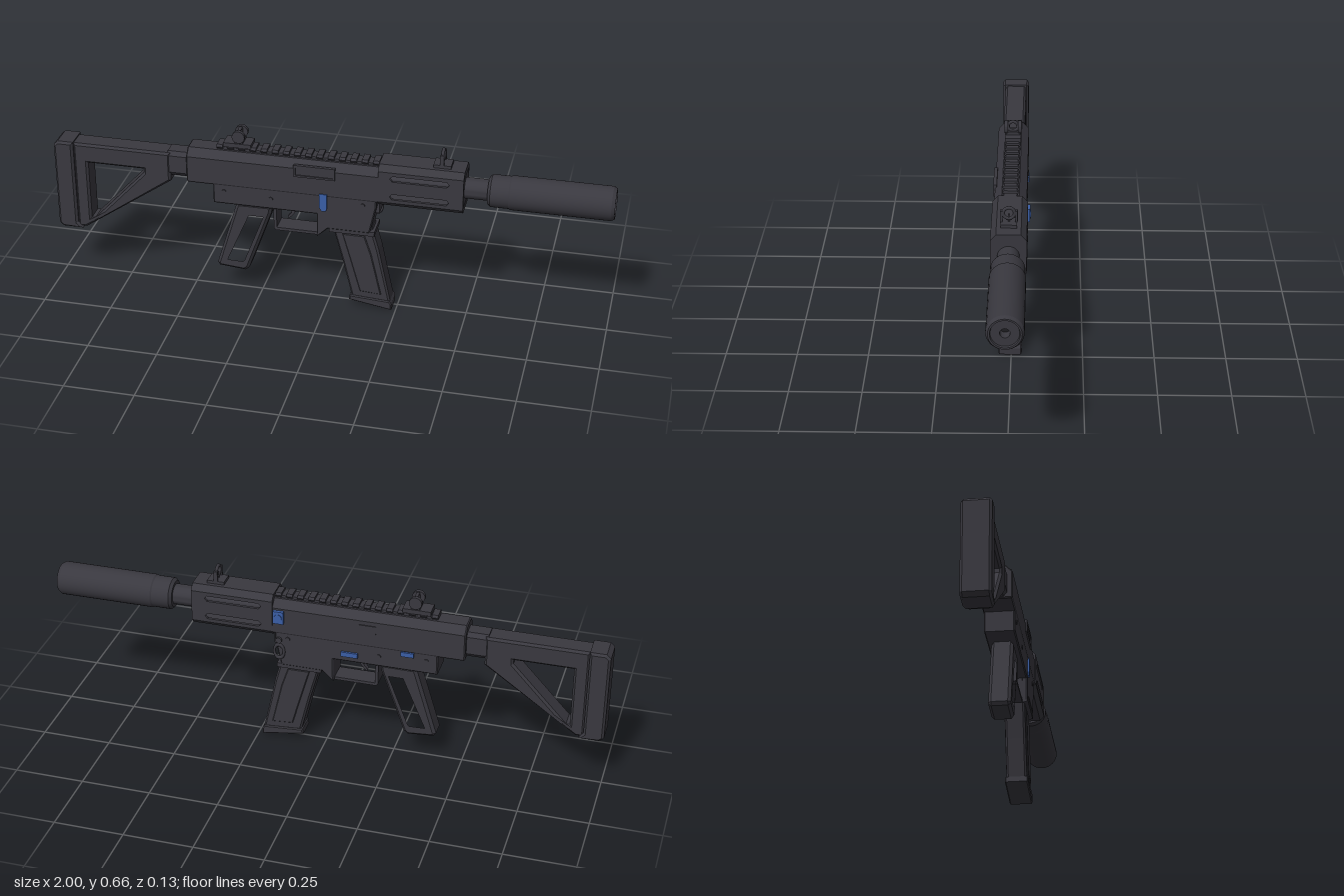
import * as THREE from 'three';
import { toCreasedNormals } from 'three/addons/utils/BufferGeometryUtils.js';

const dark = new THREE.MeshStandardMaterial({ color: 0x39383f });
dark.name = 'charcoal';
const blue = new THREE.MeshStandardMaterial({ color: 0x3a5ea6 });
blue.name = 'blue';
const black = new THREE.MeshStandardMaterial({ color: 0x1e1e22 });
black.name = 'bore black';

const AXIS_Y = 0.512; // height of the barrel axis

export function createModel() {
  const model = new THREE.Group();
  model.name = 'compactCarbine';
  const body = new THREE.Group();
  body.name = 'body';
  body.position.z = 0.004;
  model.add(body);

  const add = (name, geo, mat = dark, x = 0, y = 0, z = 0) => {
    const mesh = new THREE.Mesh(geo, mat);
    mesh.name = name;
    mesh.position.set(x, y, z);
    body.add(mesh);
    return mesh;
  };
  const box = (name, x0, x1, y0, y1, z0, z1, mat = dark) =>
    add(name, new THREE.BoxGeometry(x1 - x0, y1 - y0, z1 - z0), mat, (x0 + x1) / 2, (y0 + y1) / 2, (z0 + z1) / 2);
  const vecs = (pts) => pts.map(([x, y]) => new THREE.Vector2(x, y));
  const extrude = (pts, holes, depth, bevel) => {
    const shape = new THREE.Shape(vecs(pts));
    holes.forEach((h) => shape.holes.push(new THREE.Path(vecs(h))));
    const geo = new THREE.ExtrudeGeometry(shape, {
      depth: depth - 2 * bevel, bevelEnabled: bevel > 0, bevelSize: bevel,
      bevelThickness: bevel, bevelOffset: -bevel, bevelSegments: 1,
    });
    return geo.translate(0, 0, bevel - depth / 2);
  };
  // Side profile in x/y with a thickness across z
  const slab = (name, pts, holes, depth, bevel = 0, z = 0, mat = dark) =>
    add(name, extrude(pts, holes, depth, bevel), mat, 0, 0, z);
  // Cross-section in z/y drawn out along x
  const beam = (name, x0, x1, pts, holes = [], bevel = 0) =>
    add(name, extrude(pts, holes, x1 - x0, bevel).rotateY(Math.PI / 2), dark, (x0 + x1) / 2);
  // Turned part along the barrel axis, profile as [radius, x]
  const turned = (name, profile, mat = dark, sides = 32) => {
    const geo = new THREE.LatheGeometry(vecs(profile), sides).rotateZ(-Math.PI / 2);
    return add(name, toCreasedNormals(geo, 0.5), mat, 0, AXIS_Y, 0);
  };
  // Short disc facing sideways
  const pin = (name, x, y, z, r, len, mat = dark) =>
    add(name, toCreasedNormals(new THREE.CylinderGeometry(r, r, len, 16).rotateX(Math.PI / 2), 0.6), mat, x, y, z);
  const rect = (x0, x1, y0, y1) => [[x0, y0], [x1, y0], [x1, y1], [x0, y1]];

  // Stock: butt pad, triangular frame and connecting tube
  slab('buttPad', [[-1, 0.21], [-0.985, 0.197], [-0.91, 0.197], [-0.928, 0.22], [-0.928, 0.545], [-0.985, 0.545], [-1, 0.53]], [], 0.1, 0.008);
  slab('stockFrame',
    [[-0.93, 0.2], [-0.9, 0.2], [-0.57, 0.43], [-0.57, 0.54], [-0.93, 0.54]],
    [[[-0.878, 0.465], [-0.878, 0.24], [-0.865, 0.24], [-0.67, 0.45], [-0.67, 0.465]]], 0.08, 0.008);
  beam('stockTube', -0.58, -0.48, [[-0.025, 0.45], [0.025, 0.45], [0.037, 0.465], [0.037, 0.53], [0.025, 0.545], [-0.025, 0.545], [-0.037, 0.53], [-0.037, 0.465]]);

  // Receivers
  beam('upperReceiver', -0.505, 0.188,
    [[-0.052, 0.444], [0.052, 0.444], [0.056, 0.45], [0.056, 0.545], [0.03, 0.572], [-0.03, 0.572], [-0.056, 0.545], [-0.056, 0.45]], [], 0.004);
  slab('lowerReceiver',
    [[-0.41, 0.46], [-0.41, 0.37], [-0.035, 0.37], [-0.035, 0.278], [0.005, 0.315], [0.155, 0.315], [0.178, 0.42], [0.178, 0.46]], [], 0.105, 0.004);
  slab('triggerGuard',
    [[-0.195, 0.38], [-0.195, 0.285], [-0.187, 0.277], [-0.03, 0.277], [-0.03, 0.38]],
    [[[-0.184, 0.375], [-0.184, 0.288], [-0.036, 0.288], [-0.036, 0.375]]], 0.07);
  slab('trigger', [[-0.155, 0.375], [-0.135, 0.34], [-0.15, 0.322], [-0.146, 0.314], [-0.124, 0.34], [-0.125, 0.375]], [], 0.018);
  box('wellLip', 0.01, 0.172, 0.303, 0.32, -0.05, 0.05);
  box('frontLug', 0.165, 0.186, 0.39, 0.45, -0.03, 0.03);

  // Skeleton grip
  slab('grip',
    [[-0.33, 0.37], [-0.2, 0.37], [-0.205, 0.34], [-0.29, 0.105], [-0.305, 0.092], [-0.4, 0.1], [-0.408, 0.112]],
    [[[-0.292, 0.335], [-0.225, 0.335], [-0.222, 0.325], [-0.298, 0.128], [-0.31, 0.12], [-0.375, 0.122], [-0.38, 0.13]]], 0.076, 0.01);

  // Magazine with raised side panels and a foot
  slab('magazine', [[0.015, 0.33], [0.16, 0.33], [0.185, 0.24], [0.23, 0.03], [0.09, 0.035], [0.055, 0.18]], [], 0.072, 0.007);
  for (const s of [-1, 1]) {
    slab('magazinePanel', [[0.055, 0.295], [0.135, 0.295], [0.16, 0.22], [0.197, 0.06], [0.12, 0.065], [0.085, 0.19]], [], 0.008, 0.003, s * 0.036);
  }
  slab('magazineFoot', [[0.083, 0.045], [0.08, 0.025], [0.235, 0], [0.235, 0.024], [0.228, 0.036]], [], 0.082, 0.004);

  // Handguard: slotted sides, chamfered top and bottom, end plates
  const X0 = 0.184, X1 = 0.482;
  const slot = (y0, y1) => [[0.225, (y0 + y1) / 2], [0.234, y0], [0.424, y0], [0.433, (y0 + y1) / 2], [0.424, y1], [0.234, y1]];
  for (const s of [-1, 1]) {
    slab('handguardSide', rect(X0, X1, 0.452, 0.57), [slot(0.465, 0.486), slot(0.535, 0.556)], 0.01, 0, s * 0.055);
  }
  beam('handguardTop', X0, X1, [[-0.06, 0.565], [0.06, 0.565], [0.06, 0.57], [0.041, 0.591], [-0.041, 0.591], [-0.06, 0.57]]);
  beam('handguardBottom', X0, X1, [[-0.045, 0.435], [0.045, 0.435], [0.06, 0.452], [0.06, 0.457], [-0.06, 0.457], [-0.06, 0.452]]);
  for (const x of [X0, X1 - 0.012]) box('handguardEnd', x + 0.001, x + 0.011, 0.455, 0.567, -0.052, 0.052);

  // Barrel and suppressor
  turned('barrel', [[0, 0.18], [0.02, 0.18], [0.02, 0.475], [0.037, 0.475], [0.037, 0.57], [0, 0.57]]);
  turned('suppressor', [[0, 0.562], [0.048, 0.562], [0.057, 0.572], [0.057, 0.635], [0.06, 0.64], [0.06, 0.985], [0.053, 0.997],
    [0.047, 0.997], [0.045, 0.99], [0.016, 0.99], [0.016, 0.95]]);
  turned('bore', [[0.016, 0.955], [0, 0.955]], black, 20);

  // Top rail with cross teeth
  box('railBase', -0.4, 0.185, 0.568, 0.581, -0.022, 0.022);
  for (let i = 0; i < 15; i++) {
    const x = -0.4 + i * 0.04;
    beam('railTooth', x, x + 0.022, [[-0.022, 0.574], [0.022, 0.574], [0.028, 0.582], [0.022, 0.59], [-0.022, 0.59], [-0.028, 0.582]]);
  }

  // Sights: upright rings on clamped bases
  const sightRing = (name, x, r, tube) =>
    add(name, new THREE.TorusGeometry(r, tube, 8, 20).rotateY(Math.PI / 2), dark, x, 0.631, 0);
  box('rearSightBase', -0.375, -0.275, 0.586, 0.602, -0.029, 0.029);
  box('rearSightNeck', -0.335, -0.305, 0.598, 0.615, -0.026, 0.026);
  sightRing('rearSightRing', -0.32, 0.018, 0.006);
  for (const s of [-1, 1]) pin('rearSightKnob', -0.32, 0.628, s * 0.024, 0.023, 0.013);
  box('frontSightBase', 0.37, 0.432, 0.588, 0.602, -0.027, 0.027);
  sightRing('frontSightRing', 0.4, 0.019, 0.006);
  box('frontSightPost', 0.397, 0.403, 0.6, 0.628, -0.003, 0.003);
  for (const s of [-1, 1]) box('frontSightEar', 0.393, 0.407, 0.6, 0.64, s * 0.025 - 0.004, s * 0.025 + 0.004);

  // Ejection port cover
  slab('portCover', rect(-0.115, 0.032, 0.515, 0.56), [rect(-0.108, 0.025, 0.522, 0.55)], 0.012, 0, 0.056);
  box('portDoor', -0.11, 0.027, 0.52, 0.552, 0.052, 0.058);
  box('farSidePlate', -0.19, -0.13, 0.5, 0.53, -0.059, -0.054);

  // Receiver pins and sling loop
  for (const s of [-1, 1]) {
    for (const [x, y] of [[-0.37, 0.42], [-0.2, 0.41], [0.13, 0.425]]) pin('receiverPin', x, y, s * 0.053, 0.008, 0.006);
  }
  const loop = add('slingLoop', new THREE.TorusGeometry(0.018, 0.005, 8, 16), dark, 0.162, 0.372, -0.054);
  loop.scale.y = 1.5;
  pin('slingStud', 0.162, 0.418, -0.055, 0.011, 0.012);

  // Blue controls
  slab('magazineCatch', [[-0.024, 0.4], [-0.016, 0.388], [0, 0.388], [0.003, 0.4], [0.003, 0.455], [-0.024, 0.455]], [], 0.01, 0, 0.054, blue);
  box('boltRelease', -0.125, -0.065, 0.392, 0.41, -0.06, -0.05, blue);
  box('selector', -0.325, -0.28, 0.428, 0.445, -0.06, -0.05, blue);
  box('chargingHandle', 0.142, 0.18, 0.49, 0.538, -0.068, -0.055, blue);
  pin('chargingKnob', 0.161, 0.514, -0.066, 0.014, 0.008, blue);

  return model;
}
